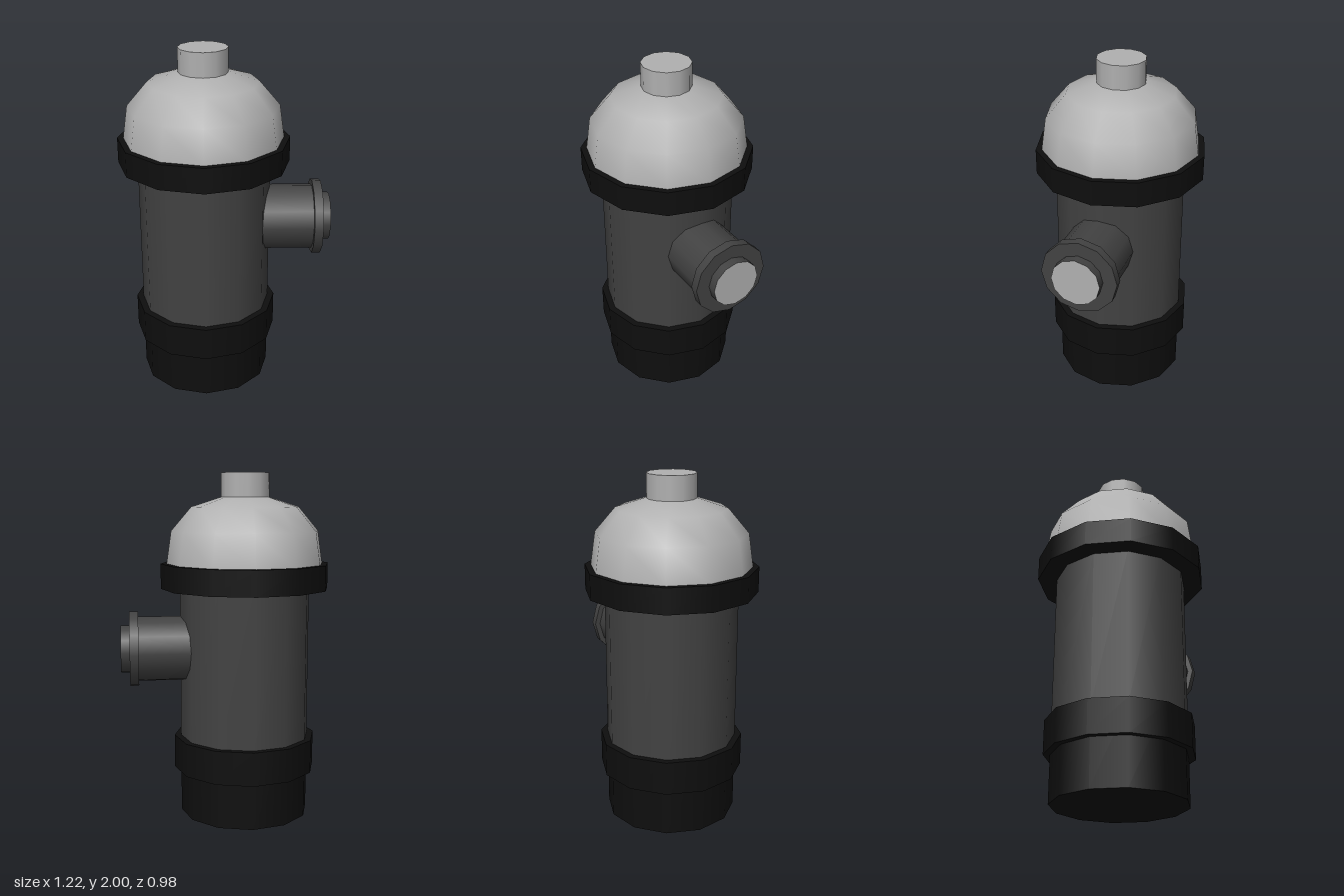
import * as THREE from 'three';

const SIDES = 12;
const CENTRE_X = -0.12; // axis of the upright barrel
const OUTLET_Y = 0.99; // axis of the side outlet

function material(name, color) {
  const m = new THREE.MeshStandardMaterial({ color });
  m.name = name;
  return m;
}

export function createModel() {
  const black = material('black', 0x0e0e0e);
  const charcoal = material('charcoal', 0x424242);
  const silver = material('silver', 0xb0b0b0);
  const model = new THREE.Group();
  model.name = 'hydrant';

  const add = (parent, name, geometry, mat) => {
    const mesh = new THREE.Mesh(geometry, mat);
    mesh.name = name;
    parent.add(mesh);
    return mesh;
  };

  // Upright and sideways drums, given by radius and the two ends on their axis
  const drum = (radius, from, to) =>
    new THREE.CylinderGeometry(radius, radius, to - from, SIDES).translate(0, (from + to) / 2, 0);
  const sideDrum = (radius, from, to) => drum(radius, from, to).rotateZ(-Math.PI / 2);

  // Barrel with its base and collars
  const barrel = new THREE.Group();
  barrel.name = 'barrel';
  barrel.position.x = CENTRE_X;
  model.add(barrel);
  add(barrel, 'base', drum(0.38, 0, 0.44), black);
  add(barrel, 'lowerCollar', drum(0.418, 0.27, 0.465), black);
  add(barrel, 'body', drum(0.38, 0.44, 1.36), charcoal);
  add(barrel, 'upperCollar', drum(0.49, 1.34, 1.485), black);

  // Rounded bonnet and top nut
  const profile = [[0.456, 1.48], [0.428, 1.672], [0.312, 1.808], [0.14, 1.863], [0, 1.885]]
    .map(([r, y]) => new THREE.Vector2(r, y));
  add(barrel, 'bonnet', new THREE.LatheGeometry(profile, SIDES), silver);
  add(barrel, 'topNut', drum(0.14, 1.84, 2), silver);

  // Side outlet with flange and a bright end face
  const outlet = new THREE.Group();
  outlet.name = 'outlet';
  outlet.position.y = OUTLET_Y;
  model.add(outlet);
  add(outlet, 'outletPipe', sideDrum(0.19, 0.1, 0.52), charcoal);
  add(outlet, 'outletFlange', sideDrum(0.22, 0.505, 0.556), charcoal);
  // Material order: side, outer end, inner end
  add(outlet, 'outletCap', sideDrum(0.14, 0.54, 0.607), [charcoal, silver, charcoal]);

  return model;
}
